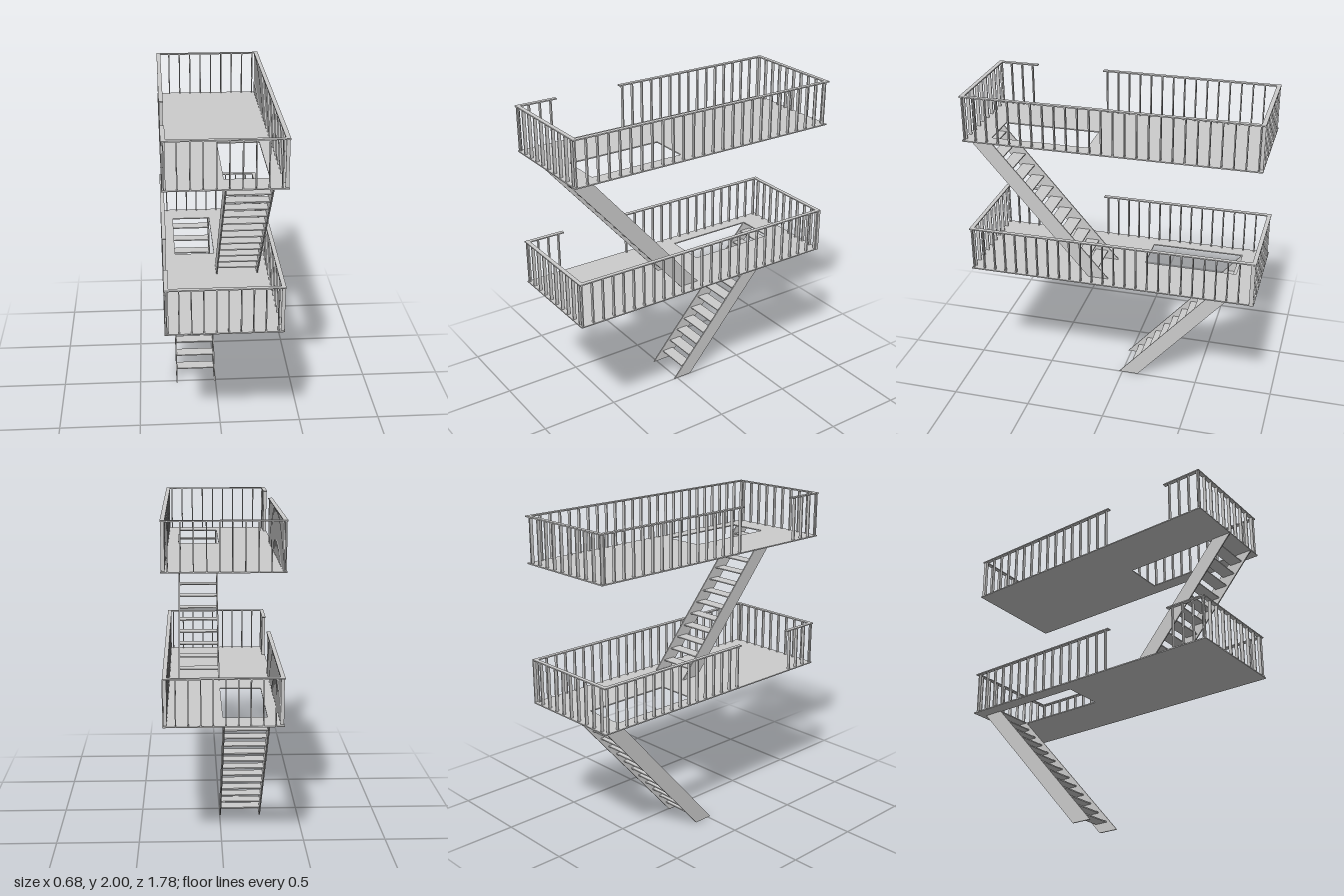
import * as THREE from 'three';

const grey = new THREE.MeshStandardMaterial({ color: 0xcccccc });
const HX = 0.337, HZ = 0.888;        // platform half sizes
const RAIL_H = 0.28, RAIL_W = 0.025, SHEET = 0.007;
const GAP = [0.205, 0.63];           // entrance gap in the right-hand railing

function box(parent, name, size, pos) {
  const m = new THREE.Mesh(new THREE.BoxGeometry(...size), grey);
  m.name = name;
  m.position.set(...pos);
  parent.add(m);
}

// thin floor with a rectangular stairwell
function floor(hole) {
  const shape = new THREE.Shape([[-HX, -HZ], [HX, -HZ], [HX, HZ], [-HX, HZ]].map(p => new THREE.Vector2(...p)));
  const { x0, x1, z0, z1 } = hole;
  shape.holes.push(new THREE.Path([[x0, -z0], [x1, -z0], [x1, -z1], [x0, -z1]].map(p => new THREE.Vector2(...p))));
  const geo = new THREE.ExtrudeGeometry(shape, { depth: SHEET, bevelEnabled: false }).rotateX(-Math.PI / 2);
  const m = new THREE.Mesh(geo, grey);
  m.name = 'floor';
  return m;
}

// handrails on four sides with flat balusters beneath
function railing(backShift) {
  const g = new THREE.Group();
  g.name = 'railing';
  const ex = HX - RAIL_W / 2, ez = HZ - RAIL_W / 2, top = RAIL_H - SHEET / 2;
  const rail = (sx, sz, x, z) => box(g, 'handrail', [sx, SHEET, sz], [x, top, z]);
  rail(2 * HX, RAIL_W, 0, ez);
  rail(2 * HX, RAIL_W, 0, -ez);
  rail(RAIL_W, 2 * (HZ - RAIL_W), ex, 0);
  for (const [a, b] of [[-HZ + RAIL_W, GAP[0]], [GAP[1], HZ - RAIL_W]])
    rail(RAIL_W, b - a, -ex, (a + b) / 2);

  const h = RAIL_H - SHEET, step = 0.0695;
  // end railings
  for (let i = 0; i < 10; i++) {
    const x = -0.325 + i * step;
    box(g, 'baluster', [SHEET, h, 0.02], [x, h / 2, ez]);
    if (x + backShift < HX) box(g, 'baluster', [SHEET, h, 0.02], [x + backShift, h / 2, -ez]);
  }
  // side railings
  for (let i = 0; i < 26; i++) {
    const z = 0.875 - i * step;
    box(g, 'baluster', [0.02, h, SHEET], [ex, h / 2, z]);
    if (z < GAP[0] || z > GAP[1]) box(g, 'baluster', [0.02, h, SHEET], [-ex, h / 2, z]);
  }
  return g;
}

// open flight: two slanted stringers and flat treads
function stairs(name, x0, x1, zBottom, zTop, y0, rise) {
  const g = new THREE.Group();
  g.name = name;
  g.position.y = y0;
  const w = 0.063, t = 0.008;
  const side = new THREE.Shape([[zBottom - w, 0], [zBottom + w, 0], [zTop + w, rise], [zTop - w, rise]]
    .map(p => new THREE.Vector2(...p)));
  for (const x of [x0 + t, x1]) {
    const m = new THREE.Mesh(
      new THREE.ExtrudeGeometry(side, { depth: t, bevelEnabled: false }).rotateY(-Math.PI / 2), grey);
    m.name = 'stringer';
    m.position.x = x;
    g.add(m);
  }
  for (let i = 0; i < 12; i++) {
    const y = 0.06 + i * 0.0677;
    const z = zBottom + (zTop - zBottom) * y / rise;
    box(g, 'tread', [x1 - x0 - 2 * t, SHEET, 0.08], [(x0 + x1) / 2, y, z]);
  }
  return g;
}

function landing(name, y, hole, backShift) {
  const g = new THREE.Group();
  g.name = name;
  g.position.y = y;
  g.add(floor(hole), railing(backShift));
  return g;
}

export function createModel() {
  const model = new THREE.Group();
  model.name = 'fireEscape';
  model.add(
    landing('lowerLanding', 0.86, { x0: -0.252, x1: 0, z0: -0.73, z1: -0.15 }, 0.035),
    landing('upperLanding', 1.72, { x0: 0, x1: 0.25, z0: 0.145, z1: 0.735 }, 0),
    stairs('lowerStairs', -0.26, 0, -0.042, -0.787, 0, 0.86),
    stairs('upperStairs', -0.003, 0.257, 0.081, 0.825, 0.86, 0.86)
  );
  return model;
}
